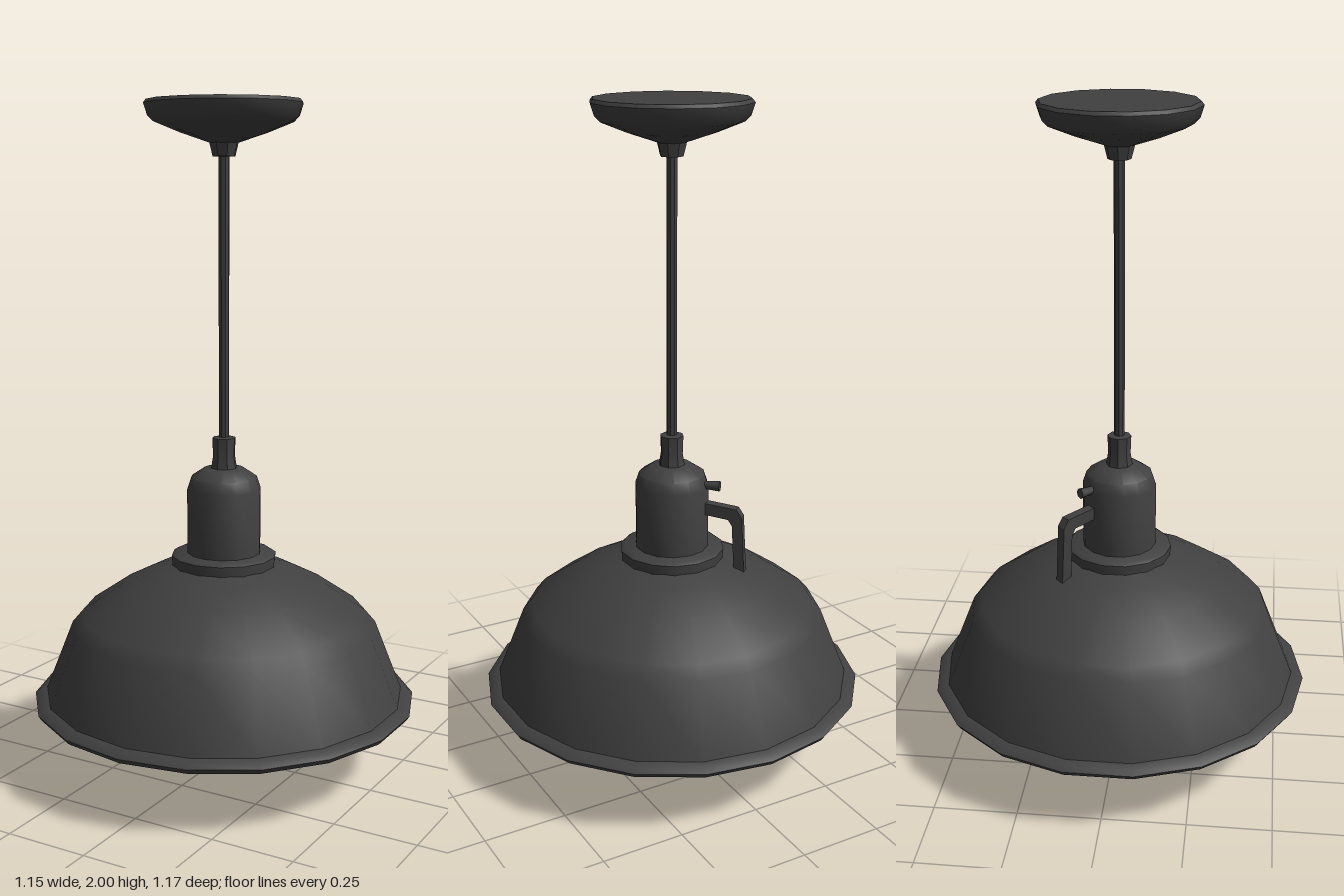
import * as THREE from 'three';
import { toCreasedNormals } from 'three/addons/utils/BufferGeometryUtils.js';

export function createModel() {
  const group = new THREE.Group();
  group.name = 'pendantLamp';
  const metal = new THREE.MeshStandardMaterial({ color: 0x404040 });
  metal.name = 'dark metal';
  const glass = new THREE.MeshStandardMaterial({ color: 0xbcae6e });
  glass.name = 'amber glass';

  // Lathe from [radius, height] pairs; bottom to top faces outward
  function turned(name, profile, sides, material, crease = 0.7) {
    const points = profile.map(([r, y]) => new THREE.Vector2(r, y));
    const geometry = toCreasedNormals(new THREE.LatheGeometry(points, sides), crease);
    const mesh = new THREE.Mesh(geometry, material);
    mesh.name = name;
    group.add(mesh);
    return mesh;
  }

  // Shade: inner skin down to the rolled rim, then the outer skin back up
  turned('shade', [
    [0, 0.6], [0.16, 0.595], [0.3, 0.545], [0.42, 0.465], [0.445, 0.43],
    [0.535, 0.225], [0.55, 0.195], [0.575, 0.195], [0.585, 0.21], [0.57, 0.222],
    [0.548, 0.228], [0.465, 0.44], [0.435, 0.475], [0.31, 0.56], [0.22, 0.605], [0.14, 0.63],
  ], 18, metal);

  // Collar and socket housing
  turned('collar', [[0.155, 0.6], [0.16, 0.655], [0.15, 0.662], [0, 0.665]], 14, metal);
  turned('socketHousing', [
    [0.112, 0.65], [0.112, 0.86], [0.1, 0.895], [0.06, 0.922], [0, 0.925],
  ], 14, metal);
  turned('cordGrip', [[0.042, 0.91], [0.034, 0.96], [0.036, 1.015], [0, 1.02]], 8, metal);

  // Cord and ceiling canopy
  turned('cord', [[0.016, 1.0], [0.016, 1.88]], 8, metal);
  turned('canopyGrip', [[0, 1.84], [0.034, 1.84], [0.044, 1.88], [0.03, 1.9]], 8, metal);
  turned('canopy', [
    [0, 1.87], [0.04, 1.878], [0.13, 1.908], [0.205, 1.938], [0.222, 1.955],
    [0.233, 1.99], [0.225, 2], [0, 2],
  ], 14, metal);

  // Bulb
  turned('bulb', [
    [0, 0], [0.03, 0.016], [0.07, 0.045], [0.1, 0.09], [0.11, 0.14],
    [0.104, 0.19], [0.085, 0.25], [0.062, 0.31], [0.04, 0.35], [0, 0.365],
  ], 18, glass, 1.2);

  // Side bracket, drawn along +x and turned to the back corner
  const bracket = new THREE.Group();
  bracket.name = 'bracket';
  const outline = new THREE.Shape([
    [0.1, 0.775], [0.18, 0.765], [0.192, 0.745], [0.2, 0.58], [0.232, 0.58],
    [0.222, 0.775], [0.205, 0.8], [0.1, 0.812],
  ].map(([x, y]) => new THREE.Vector2(x, y)));
  const armGeometry = new THREE.ExtrudeGeometry(outline, { depth: 0.03, bevelEnabled: false });
  armGeometry.translate(0, 0, -0.015);
  const arm = new THREE.Mesh(armGeometry, metal);
  arm.name = 'bracketArm';
  const screw = new THREE.Mesh(new THREE.CylinderGeometry(0.016, 0.012, 0.05, 7), metal);
  screw.name = 'setScrew';
  screw.rotation.z = -Math.PI / 2;
  screw.position.set(0.125, 0.865, 0);
  bracket.add(arm, screw);
  bracket.rotation.y = Math.PI * 0.75;
  group.add(bracket);

  return group;
}
